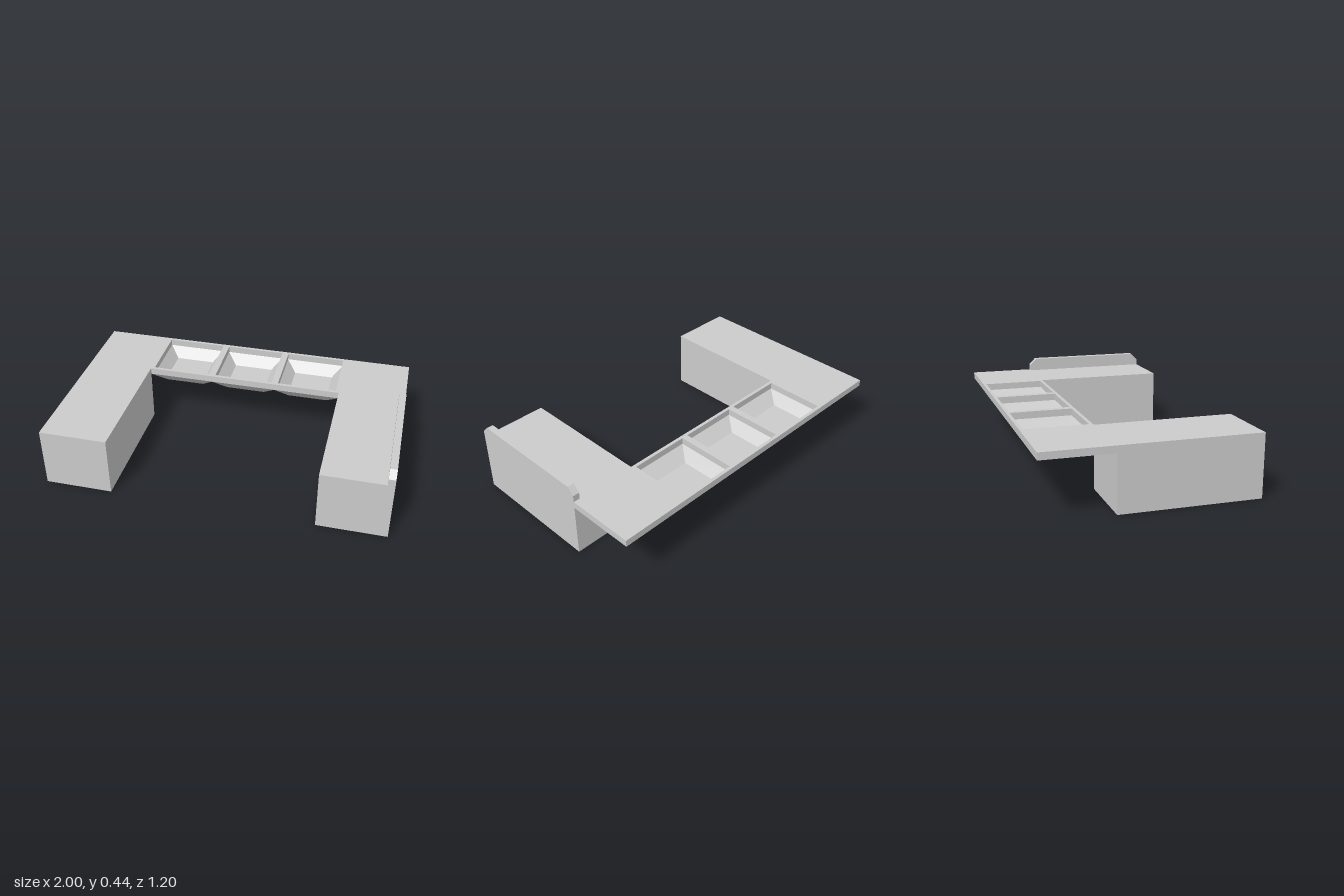
import * as THREE from 'three';

const material = new THREE.MeshStandardMaterial({ color: 0xcccccc, flatShading: true });
const TOP = 0.36, SLAB = 0.04, UNDER = TOP - SLAB;

function addMesh(group, name, geometry) {
  const mesh = new THREE.Mesh(geometry, material);
  mesh.name = name;
  group.add(mesh);
  return mesh;
}

const points = (list) => list.map(([x, y]) => new THREE.Vector2(x, y));
const rectangle = (x0, x1, z0, z1) => points([[x0, z0], [x1, z0], [x1, z1], [x0, z1]]);

// Joins rectangular rings [x0, x1, z0, z1, y] with flat faces and caps both ends
function loft(rings) {
  const corners = rings.map(([x0, x1, z0, z1, y]) =>
    [[x0, y, z1], [x1, y, z1], [x1, y, z0], [x0, y, z0]]);
  const positions = [];
  const quad = (a, b, c, d) => positions.push(...a, ...b, ...c, ...a, ...c, ...d);
  for (let r = 0; r < corners.length - 1; r++) {
    const low = corners[r], high = corners[r + 1];
    for (let i = 0; i < 4; i++) {
      const j = (i + 1) % 4;
      quad(low[i], low[j], high[j], high[i]);
    }
  }
  quad(...[...corners[0]].reverse());
  quad(...corners[corners.length - 1]);
  const geometry = new THREE.BufferGeometry();
  geometry.setAttribute('position', new THREE.Float32BufferAttribute(positions, 3));
  geometry.computeVertexNormals();
  return geometry;
}

export function createModel() {
  const model = new THREE.Group();
  model.name = 'counterUnit';
  const basinCentres = [-0.4, 0, 0.4];
  const basinZ = -0.4;

  // U-shaped top with three square openings along the back
  const outline = new THREE.Shape(points([
    [-1, -0.6], [1, -0.6], [1, 0.6], [0.6, 0.6],
    [0.6, -0.2], [-0.6, -0.2], [-0.6, 0.6], [-1, 0.6],
  ]));
  for (const x of basinCentres) {
    outline.holes.push(new THREE.Path(
      rectangle(x - 0.18, x + 0.18, basinZ - 0.18, basinZ + 0.18)));
  }
  const top = new THREE.ExtrudeGeometry(outline, { depth: SLAB, bevelEnabled: false });
  top.rotateX(Math.PI / 2).translate(0, TOP, 0);
  addMesh(model, 'counterTop', top);

  // Solid side blocks
  for (const [name, side] of [['leftBlock', 1], ['rightBlock', -1]]) {
    const block = addMesh(model, name, new THREE.BoxGeometry(0.4, UNDER, 0.8));
    block.position.set(side * 0.8, UNDER / 2, 0.2);
  }

  // Tapered basins: outer shell up to the rim, then down to the inner floor
  basinCentres.forEach((x, i) => {
    const ring = (half, y, front = half) =>
      [x - half, x + half, basinZ - half, basinZ + front, y];
    addMesh(model, `basin${i + 1}`, loft([
      ring(0.12, 0.24), ring(0.2, UNDER), ring(0.18, UNDER), ring(0.12, 0.26, 0.1),
    ]));
  });

  // Low edge rail with chamfered ends along the left side
  const railProfile = new THREE.Shape(points([
    [-0.6, TOP], [0.2, TOP], [0.2, 0.4], [0.16, 0.44], [-0.56, 0.44], [-0.6, 0.4],
  ]));
  const rail = new THREE.ExtrudeGeometry(railProfile, { depth: 0.04, bevelEnabled: false });
  rail.rotateY(Math.PI / 2).translate(0.96, 0, 0);
  addMesh(model, 'edgeRail', rail);

  return model;
}
